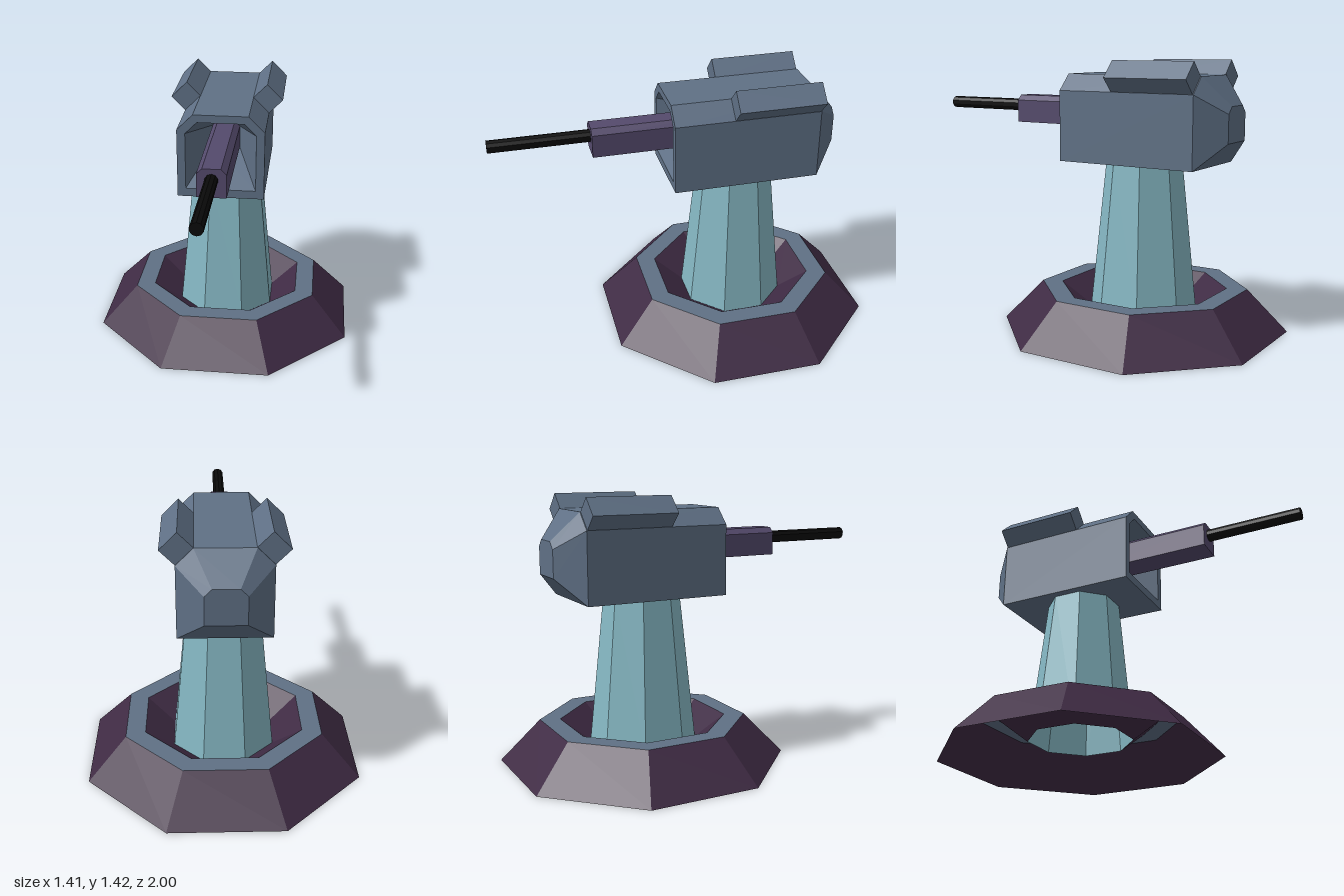
import * as THREE from 'three';

const paint = (color) => new THREE.MeshStandardMaterial({ color, flatShading: true, side: THREE.DoubleSide });
const slate = paint(0x5f7085), plum = paint(0x3f2b44), violet = paint(0x544a6c);
const teal = paint(0x86b8c4), black = paint(0x0a0a0a);

const CENTRE_Z = -0.293; // axis of the base and pillar

// Octagonal shell through [apothem, y] points
function octagon(name, points, material) {
  const profile = points.map(([a, y]) => new THREE.Vector2(a / Math.cos(Math.PI / 8), y));
  const mesh = new THREE.Mesh(new THREE.LatheGeometry(profile, 8, Math.PI / 8), material);
  mesh.name = name;
  mesh.position.z = CENTRE_Z;
  return mesh;
}

// Box section with its two top corners cut off, counter-clockwise from +z
function section(z, hw, y0, y1, cut) {
  return [[-hw, y0, z], [hw, y0, z], [hw, y1 - cut, z], [hw - cut, y1, z], [cut - hw, y1, z], [-hw, y1 - cut, z]];
}

// Skin a list of sections and cap both ends
function loft(name, sections, material) {
  const n = 6, last = (sections.length - 1) * n, index = [];
  for (let s = 0; s < last; s += n) {
    for (let j = 0; j < n; j++) {
      const k = (j + 1) % n;
      index.push(s + j, s + n + j, s + n + k, s + j, s + n + k, s + k);
    }
  }
  for (let j = 1; j < n - 1; j++) index.push(0, j, j + 1, last, last + j + 1, last + j);
  const geometry = new THREE.BufferGeometry();
  geometry.setAttribute('position', new THREE.Float32BufferAttribute(sections.flat(2), 3));
  geometry.setIndex(index);
  const flat = geometry.toNonIndexed();
  flat.computeVertexNormals();
  const mesh = new THREE.Mesh(flat, material);
  mesh.name = name;
  return mesh;
}

export function createModel() {
  const model = new THREE.Group();
  model.name = 'gunTurret';

  // Base: outer skirt, rim and the funnel down to the pillar foot
  model.add(
    octagon('baseSkirt', [[0.707, 0], [0.51, 0.22]], plum),
    octagon('baseRim', [[0.51, 0.22], [0.41, 0.22]], slate),
    octagon('baseFunnel', [[0.41, 0.22], [0.262, 0.1]], plum),
    octagon('pillar', [[0.262, 0.1], [0.185, 0.9]], teal)
  );

  // Housing: tapered recess, front lip, body and tapered tail
  model.add(loft('housing', [
    section(-0.2, 0.074, 1.068, 1.217, 0.028),
    section(0.088, 0.185, 0.935, 1.304, 0.062),
    section(0.088, 0.229, 0.89, 1.345, 0.085),
    section(-0.685, 0.229, 0.89, 1.345, 0.085),
    section(-0.813, 0.1, 1.02, 1.2, 0.036),
  ], slate));

  // Barrel sleeve and barrel
  model.add(loft('barrelSleeve', [
    section(0.48, 0.074, 1.068, 1.217, 0.028),
    section(-0.2, 0.074, 1.068, 1.217, 0.028),
  ], violet));
  const barrel = new THREE.Mesh(new THREE.CylinderGeometry(0.033, 0.033, 0.54, 10), black);
  barrel.name = 'barrel';
  barrel.rotation.x = Math.PI / 2;
  barrel.position.set(0, 1.159, 0.73);
  model.add(barrel);

  // Slanted blocks on the housing's cut corners
  for (const side of [-1, 1]) {
    const block = new THREE.Mesh(new THREE.BoxGeometry(0.12, 0.115, 0.456), slate);
    block.name = side > 0 ? 'leftShoulderBlock' : 'rightShoulderBlock';
    block.rotation.z = -side * Math.PI / 4;
    block.position.set(side * 0.219, 1.336, -0.453);
    model.add(block);
  }
  return model;
}
